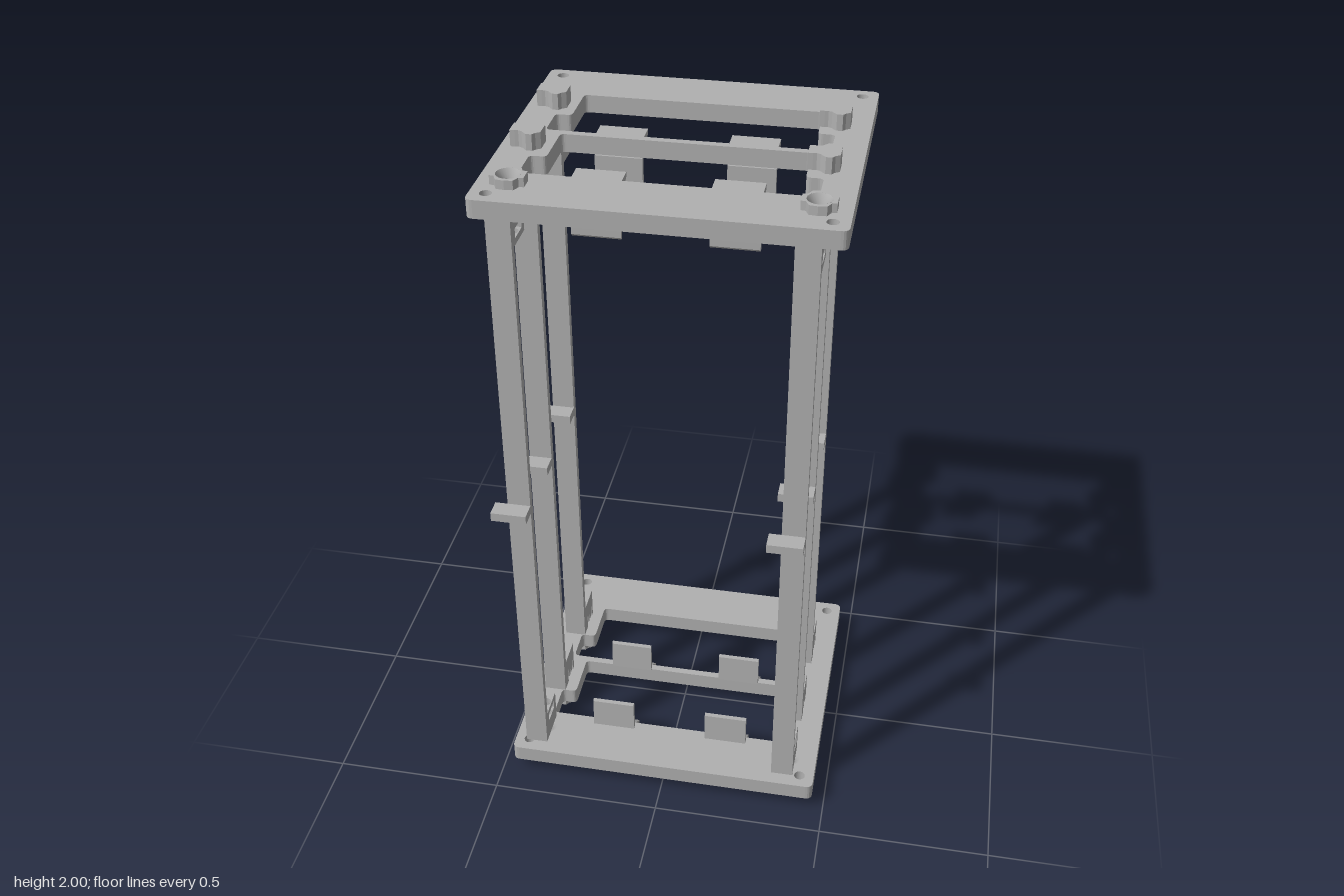
import * as THREE from 'three';

const grey = new THREE.MeshStandardMaterial({ color: 0xb0b0b0, side: THREE.DoubleSide });
grey.name = 'grey plastic';

const polygon = (pts) => new THREE.Shape(pts.map(([a, b]) => new THREE.Vector2(a, b)));
const circle = (x, z, r) => new THREE.Path().absarc(x, z, r, 0, Math.PI * 2, true);

// Polygon with rounded corners, as points
function rounded(pts, r) {
  const out = [];
  const n = pts.length;
  for (let i = 0; i < n; i++) {
    const p = new THREE.Vector2(...pts[i]);
    const a = new THREE.Vector2(...pts[(i + n - 1) % n]).sub(p).setLength(r).add(p);
    const b = new THREE.Vector2(...pts[(i + 1) % n]).sub(p).setLength(r).add(p);
    out.push(...new THREE.QuadraticBezierCurve(a, p, b).getPoints(5).map((v) => [v.x, v.y]));
  }
  return out;
}

function add(parent, name, geometry) {
  const mesh = new THREE.Mesh(geometry, grey);
  mesh.name = name;
  parent.add(mesh);
  return mesh;
}

// Outline in (x, z), extruded between two heights
function slab(parent, name, shape, ya, yb) {
  const g = new THREE.ExtrudeGeometry(shape, { depth: Math.abs(yb - ya), bevelEnabled: false, curveSegments: 24 });
  g.rotateX(Math.PI / 2).translate(0, Math.max(ya, yb), 0);
  return add(parent, name, g);
}

// Outline in (z, y), extruded between two x positions
function sideProfile(parent, name, pts, x0, x1) {
  const g = new THREE.ExtrudeGeometry(polygon(pts), { depth: x1 - x0, bevelEnabled: false });
  g.rotateY(-Math.PI / 2).translate(x1, 0, 0);
  return add(parent, name, g);
}

function box(parent, name, x0, x1, y0, y1, z0, z1) {
  const g = new THREE.BoxGeometry(x1 - x0, Math.abs(y1 - y0), z1 - z0);
  g.translate((x0 + x1) / 2, (y0 + y1) / 2, (z0 + z1) / 2);
  return add(parent, name, g);
}

const columns = [-0.3825, 0.3825];
const stations = [0.31, 0.078, -0.19]; // fastener z of each pillar row, front first
const INNER = 0.095, OUTER = 0.045;

// Plate with two stepped windows, corner holes and screw holes
function plateShape() {
  const shape = polygon(rounded([[-0.465, -0.43], [0.465, -0.43], [0.465, 0.42], [-0.465, 0.42]], 0.02));
  for (const [z0, step, z1] of [[-0.263, -0.12, -0.018], [0.003, 0.148, 0.25]]) {
    const pts = rounded([
      [-0.33, z0], [0.33, z0], [0.33, step], [0.375, step],
      [0.375, z1], [-0.375, z1], [-0.375, step], [-0.33, step],
    ], 0.014);
    shape.holes.push(polygon(pts));
  }
  for (const x of [-0.422, 0.422]) for (const z of [-0.39, 0.377]) shape.holes.push(circle(x, z, 0.016));
  for (const x of columns) shape.holes.push(circle(x, stations[0], 0.032));
  return shape;
}

// Countersunk boss around a screw hole
function boss(parent, x, z, Y) {
  const s = polygon([
    [-0.044, -0.019], [-0.031, -0.021], [-0.022, -0.04], [0, -0.043], [0.022, -0.04], [0.031, -0.021], [0.044, -0.019],
    [0.044, 0.019], [0.031, 0.021], [0.022, 0.04], [0, 0.043], [-0.022, 0.04], [-0.031, 0.021], [-0.044, 0.019],
  ]);
  s.holes.push(circle(0, 0, 0.032));
  slab(parent, 'screwBoss', s, Y(0.02), Y(OUTER)).position.set(x, 0, z);
  const pts = [[0.032, 0.02], [0.016, 0.05], [0.016, INNER], [0.033, INNER]];
  const cone = new THREE.LatheGeometry(pts.map(([r, t]) => new THREE.Vector2(r, Y(t))), 24);
  add(parent, 'countersink', cone.toNonIndexed()).position.set(x, 0, z);
}

// Snap-in clip head with a tail towards -x
function clip(parent, x, z, Y) {
  const half = [[-0.055, 0.024], [-0.042, 0.024], [-0.032, 0.023], [-0.022, 0.027], [-0.014, 0.036],
    [-0.008, 0.042], [0.008, 0.042], [0.015, 0.032], [0.027, 0.024]];
  const pts = [...half, ...half.map(([a, b]) => [a, -b]).reverse()];
  slab(parent, 'clipHead', polygon(pts), Y(0), Y(OUTER)).position.set(x, 0, z);
}

// One end of the frame; Y maps height from the outside inwards
function frameEnd(name, Y) {
  const end = new THREE.Group();
  end.name = name;
  slab(end, 'plate', plateShape(), Y(OUTER), Y(INNER));
  for (const x of columns) {
    boss(end, x, stations[0], Y);
    clip(end, x, stations[1], Y);
    clip(end, x, stations[2], Y);
  }
  // Guide ledges and upright tabs along both cross bars
  for (const z of [-0.018, 0.25]) {
    for (const x of [-0.176, 0.176]) {
      sideProfile(end, 'guideLedge', [
        [z, Y(OUTER)], [z - 0.052, Y(OUTER)], [z - 0.052, Y(OUTER + 0.01)], [z, Y(INNER)],
      ], x - 0.064, x + 0.064);
      sideProfile(end, 'guideTab', [
        [z + 0.011, Y(INNER)], [z + 0.027, Y(INNER)], [z + 0.025, Y(0.19)],
        [z + 0.022, Y(0.195)], [z + 0.016, Y(0.195)], [z + 0.013, Y(0.19)],
      ], x - 0.064, x + 0.064);
    }
  }
  return end;
}

// End block with a screw hole and a nut slot through it
function screwBlock(parent, x, z, Y) {
  const x0 = x - 0.0475, x1 = x + 0.0175, z0 = z - 0.045, z1 = z + 0.07;
  const layer = () => {
    const s = polygon([[x0, z0], [x1, z0], [x1, z1], [x0, z1]]);
    s.holes.push(circle(x, z, 0.016));
    return s;
  };
  slab(parent, 'screwBlock', layer(), Y(INNER), Y(0.152));
  box(parent, 'nutSlotBack', x0, x1, Y(0.152), Y(0.177), z0, z - 0.025);
  box(parent, 'nutSlotFront', x0, x1, Y(0.152), Y(0.177), z + 0.035, z1);
  slab(parent, 'screwBlock', layer(), Y(0.177), Y(0.195));
}

// End block with an M-shaped slot for the clip legs
function clipBlock(parent, x, z, Y) {
  const b = Y(INNER), s = Y(0.138);
  sideProfile(parent, 'clipBlock', [
    [z - 0.043, b], [z - 0.028, b], [z - 0.028, s], [z - 0.02, s], [z - 0.014, Y(0.104)],
    [z - 0.006, Y(0.104)], [z, Y(0.13)], [z + 0.006, Y(0.104)], [z + 0.014, Y(0.104)],
    [z + 0.02, s], [z + 0.028, s], [z + 0.028, b],
    [z + 0.07, b], [z + 0.07, Y(0.195)], [z - 0.043, Y(0.195)],
  ], x - 0.0475, x + 0.0175);
}

export function createModel() {
  const model = new THREE.Group();
  model.name = 'rackFrame';
  const ends = [(t) => t, (t) => 2 - t];
  model.add(frameEnd('bottomEnd', ends[0]), frameEnd('topEnd', ends[1]));

  // Six pillars: strip, centre tab and a block at each end
  for (const x of columns) {
    stations.forEach((z, i) => {
      const pillar = new THREE.Group();
      pillar.name = 'pillar';
      const front = z + 0.07;
      box(pillar, 'strip', x - 0.0475, x + 0.0175, 0.195, 1.805, front - 0.022, front);
      box(pillar, 'centreTab', x - 0.0825, x + 0.0175, 0.987, 1.013, front, front + 0.051);
      for (const Y of ends) (i === 0 ? screwBlock : clipBlock)(pillar, x, z, Y);
      model.add(pillar);
    });
  }
  return model;
}
